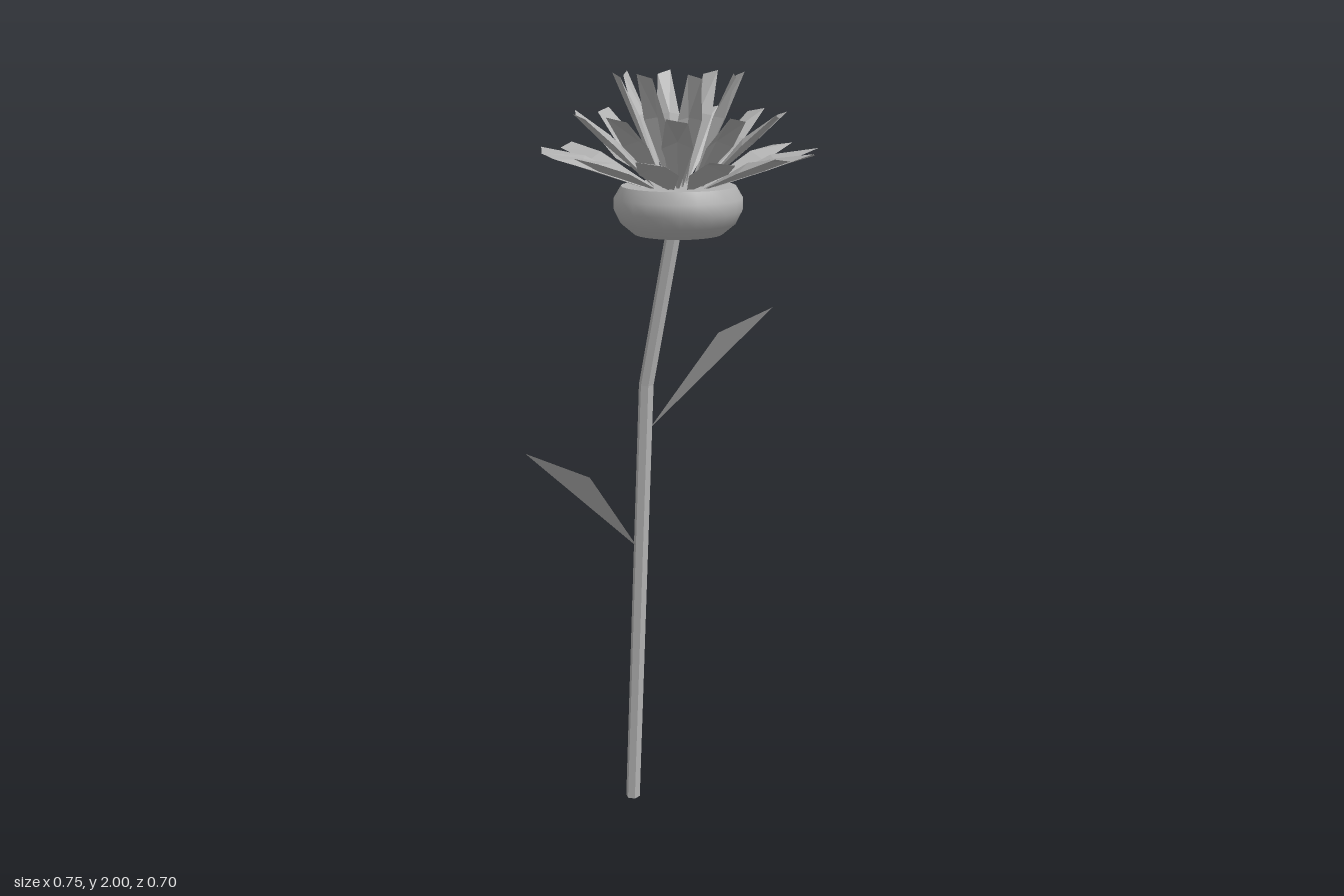
import * as THREE from 'three';

const HEAD_X = 0.03;

// Flat-faced sheet from a short list of points and triangles
function sheet(points, faces, material, name) {
  const pos = faces.flatMap((f) => f.flatMap((i) => points[i]));
  const geo = new THREE.BufferGeometry();
  geo.setAttribute('position', new THREE.Float32BufferAttribute(pos, 3));
  geo.computeVertexNormals();
  const mesh = new THREE.Mesh(geo, material);
  mesh.name = name;
  return mesh;
}

// Ridged petal pointing along +z: pointed base, wide middle, blunt tip
function petal({ r0, r1, y1, half, tip }, material) {
  const y0 = 1.71, t = 0.63;
  const rm = r0 + (r1 - r0) * t, ym = y0 + (y1 - y0) * t;
  const slope = Math.atan2(y1 - y0, r1 - r0), lift = half * 0.5;
  const points = [
    [0, y0, r0],
    [half, ym, rm],
    [tip, y1 - 0.005, r1 - 0.006],
    [-tip, y1 + 0.005, r1 + 0.006],
    [-half, ym, rm],
    [0, ym + lift * Math.cos(slope), rm - lift * Math.sin(slope)],
  ];
  const faces = [[0, 5, 1], [1, 5, 2], [2, 5, 3], [3, 5, 4], [4, 5, 0]];
  return sheet(points, faces, material, 'petal');
}

export function createModel() {
  const grey = new THREE.MeshStandardMaterial({ color: 0xb0b0b0 });
  grey.name = 'grey';
  const facetedGrey = grey.clone();
  facetedGrey.flatShading = true;
  facetedGrey.side = THREE.DoubleSide;
  const model = new THREE.Group();

  // Bent six-sided stem, built ring by ring
  const path = [[-0.097, 0, -0.013], [-0.045, 1.2, -0.04], [0.022, 1.63, 0]];
  const stemGeo = new THREE.CylinderGeometry(0.02, 0.02, 1, 6, 2);
  const p = stemGeo.attributes.position;
  for (let i = 0; i < p.count; i++) {
    const [x, y, z] = path[Math.round((p.getY(i) + 0.5) * 2)];
    p.setXYZ(i, p.getX(i) + x, y, p.getZ(i) + z);
  }
  stemGeo.computeVertexNormals();
  const stem = new THREE.Mesh(stemGeo, facetedGrey);
  stem.name = 'stem';
  model.add(stem);

  // Rounded flower base with flat bottom and top
  const sides = [[0.113, 1.6], [0.147, 1.628], [0.163, 1.66], [0.163, 1.69], [0.145, 1.72]];
  const cup = new THREE.Mesh(
    new THREE.LatheGeometry(sides.map(([r, y]) => new THREE.Vector2(r, y)), 24), grey);
  cup.name = 'flowerBase';
  cup.position.x = HEAD_X;
  model.add(cup);
  for (const [r, y, turn, name] of [[0.113, 1.6, 1, 'baseUnderside'], [0.145, 1.72, -1, 'flowerCentre']]) {
    const disc = new THREE.Mesh(new THREE.CircleGeometry(r, 24), grey);
    disc.rotation.x = turn * Math.PI / 2;
    disc.position.set(HEAD_X, y, 0);
    disc.name = name;
    model.add(disc);
  }

  // Three rings of petals
  const rings = [
    { name: 'outerPetals', count: 13, offset: 0, r0: 0.07, r1: 0.345, y1: 1.805, half: 0.048, tip: 0.033 },
    { name: 'middlePetals', count: 11, offset: 15, r0: 0.055, r1: 0.262, y1: 1.895, half: 0.038, tip: 0.026 },
    { name: 'innerPetals', count: 8, offset: -3, r0: 0.037, r1: 0.157, y1: 1.99, half: 0.03, tip: 0.018 },
  ];
  for (const ring of rings) {
    const group = new THREE.Group();
    group.name = ring.name;
    group.position.x = HEAD_X;
    for (let i = 0; i < ring.count; i++) {
      const mesh = petal(ring, facetedGrey);
      mesh.rotation.y = THREE.MathUtils.degToRad(ring.offset) + (i / ring.count) * Math.PI * 2;
      group.add(mesh);
    }
    model.add(group);
  }

  // Two folded leaves: base, front corner, tip, back corner
  const leafFaces = [[0, 1, 2], [0, 2, 3]];
  model.add(sheet([[-0.035, 1.08, -0.04], [0.12, 1.35, 0.06], [0.29, 1.395, 0], [0.13, 1.25, -0.085]],
    leafFaces, facetedGrey, 'upperLeaf'));
  model.add(sheet([[-0.075, 0.75, -0.03], [-0.225, 0.99, 0.06], [-0.38, 1.05, 0], [-0.22, 0.91, -0.085]],
    leafFaces, facetedGrey, 'lowerLeaf'));

  return model;
}
